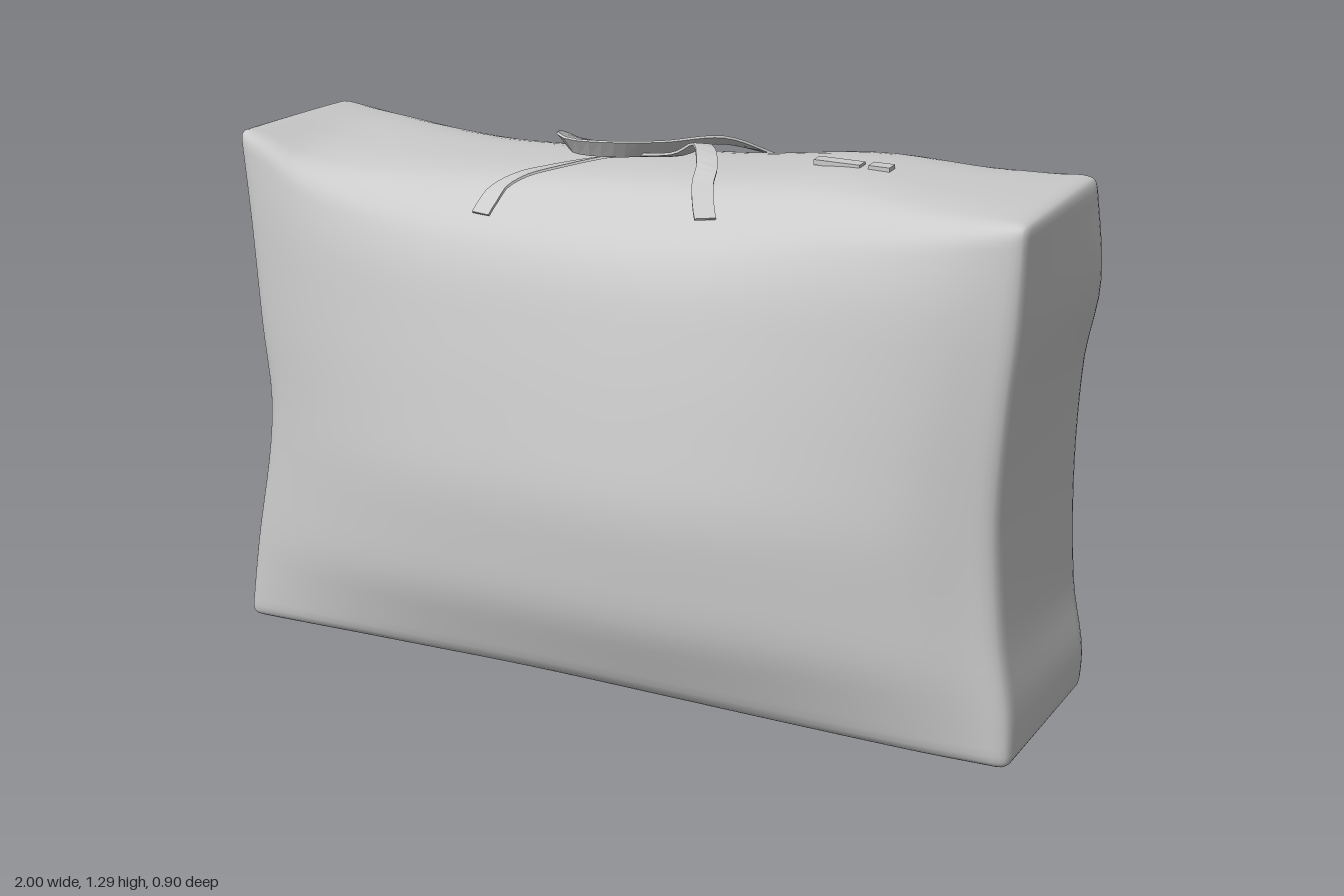
import * as THREE from 'three';
import { mergeVertices } from 'three/addons/utils/BufferGeometryUtils.js';

const { lerp, clamp } = THREE.MathUtils;

// Smooth one-dimensional profile through [position, value] pairs
function profile(pairs) {
  const f = new THREE.CubicInterpolant(pairs.map(p => p[0]), pairs.map(p => p[1]), 1);
  return x => f.evaluate(x)[0];
}

// Height of the top along the bag, at the front and at the back
const frontTop = profile([[-1, 1.245], [-0.93, 1.228], [-0.83, 1.19], [-0.5, 1.18], [-0.25, 1.2], [0, 1.22], [0.2, 1.235], [0.5, 1.268], [0.75, 1.26], [1, 1.255]]);
const backTop = profile([[-1, 1.2], [-0.8, 1.2], [-0.5, 1.19], [-0.25, 1.2], [0, 1.22], [0.2, 1.235], [0.5, 1.268], [0.75, 1.255], [1, 1.245]]);
// Front and back bulge along the bag
const frontAlong = profile([[-1, 0], [-0.95, 0.12], [-0.55, 0.65], [-0.2, 0.85], [0.17, 0.97], [0.5, 0.85], [0.8, 0.48], [0.96, 0.1], [1, 0]]);
const backAlong = profile([[-1, 0], [-0.87, 0.25], [-0.6, 0.65], [-0.3, 0.98], [0.13, 0.85], [0.53, 0.56], [0.73, 0.3], [1, 0]]);
// Front and back bulge over the height
const frontUp = profile([[0, 0.4], [0.09, 0.64], [0.18, 0.86], [0.3, 0.96], [0.42, 1], [0.56, 0.88], [0.72, 0.7], [0.87, 0.48], [1, 0.1]]);
const backUp = profile([[0, 0.12], [0.08, 0.25], [0.17, 0.55], [0.4, 0.93], [0.5, 1], [0.58, 0.98], [0.72, 0.67], [0.87, 0.43], [1, 0.08]]);
// Crumpled vertical edges of the two ends
const ends = {
  frontLeft: profile([[0, 0.985], [0.1, 0.98], [0.25, 0.95], [0.45, 0.93], [0.65, 0.94], [0.8, 0.955], [1, 0.965]]),
  backLeft: profile([[0, 0.99], [0.08, 0.995], [0.22, 0.965], [0.65, 0.96], [0.8, 0.99], [1, 0.965]]),
  frontRight: profile([[0, 1], [0.15, 0.975], [0.45, 0.92], [0.62, 0.94], [0.85, 0.965], [1, 0.985]]),
  backRight: profile([[0, 1], [0.1, 1], [0.22, 0.975], [0.45, 0.965], [0.6, 0.985], [0.8, 0.97], [0.95, 1], [1, 0.995]]),
};

// Soft stuffed body: a rounded box, then bulged and crumpled by the profiles
function bodyGeometry() {
  let g = new THREE.BoxGeometry(2, 2, 2, 48, 36, 22);
  g.deleteAttribute('normal');
  g.deleteAttribute('uv');
  g = mergeVertices(g);
  const half = new THREE.Vector3(1, 0.62, 0.25);
  const pos = g.attributes.position, p = new THREE.Vector3(), c = new THREE.Vector3();
  for (let i = 0; i < pos.count; i++) {
    p.fromBufferAttribute(pos, i);
    // crowd the grid towards the edges
    for (const k of ['x', 'y', 'z']) p[k] = lerp(p[k], Math.sin(p[k] * Math.PI / 2), 0.85) * half[k];
    // round the edges: tight at the corners, soft along the middle of the top
    const r = 0.03 + (1 - p.x * p.x) * lerp(0.02, 0.07, p.y / half.y / 2 + 0.5);
    const inner = half.clone().subScalar(r);
    c.copy(p).clamp(inner.clone().negate(), inner);
    const d = p.clone().sub(c);
    if (d.lengthSq() > 0) p.copy(c).addScaledVector(d.normalize(), r);

    const u = clamp(p.x / half.x, -1, 1), t = clamp(p.y / half.y / 2 + 0.5, 0, 1), w = clamp(p.z / half.z, -1, 1);
    const mid = 1 - u * u, f = (w + 1) / 2;
    const reach = u > 0 ? lerp(ends.backLeft(t), ends.frontLeft(t), f) : lerp(ends.backRight(t), ends.frontRight(t), f);
    const bulge = w > 0 ? 0.2 * frontAlong(u) * frontUp(t) : 0.2 * backAlong(u) * backUp(t);
    const top = lerp(backTop(u), frontTop(u), f);
    const sag = 0.07 * Math.abs(w) ** 3 * t ** 7 * mid;
    pos.setXYZ(i, u * reach, lerp(0.038 * mid, top, t) - sag, w * (half.z + bulge) + lerp(0.02, -0.005, t));
  }
  g.computeVertexNormals();
  return g;
}

// Flat webbing following a path; it turns on edge by "tilt" towards the middle
function ribbon(points, width, thick, tilt) {
  const curve = new THREE.CatmullRomCurve3(points, false, 'centripetal');
  const n = 40, verts = [], idx = [];
  const up = new THREE.Vector3(0, 1, 0);
  for (let i = 0; i <= n; i++) {
    const s = i / n, q = curve.getPointAt(s), tan = curve.getTangentAt(s);
    const a = tilt * Math.sin(Math.PI * s) ** 2;
    const side = tan.clone().cross(up).normalize();
    const nor = side.clone().cross(tan).normalize();
    const across = side.clone().multiplyScalar(Math.cos(a)).addScaledVector(nor, Math.sin(a));
    const out = across.clone().cross(tan).normalize();
    for (const [m, h] of [[-1, -1], [1, -1], [1, 1], [-1, 1]]) {
      const v = q.clone().addScaledVector(across, m * width / 2).addScaledVector(out, h * thick / 2);
      verts.push(v.x, v.y, v.z);
    }
    if (i < n) for (let k = 0; k < 4; k++) {
      const b = i * 4 + k, e = i * 4 + (k + 1) % 4;
      idx.push(b, e, e + 4, b, e + 4, b + 4);
    }
  }
  const e = n * 4;
  idx.push(0, 2, 1, 0, 3, 2, e, e + 1, e + 2, e, e + 2, e + 3);
  let g = new THREE.BufferGeometry();
  g.setAttribute('position', new THREE.Float32BufferAttribute(verts, 3));
  g.setIndex(idx);
  g = g.toNonIndexed();
  g.computeVertexNormals();
  return g;
}

export function createModel() {
  const group = new THREE.Group();
  const mat = new THREE.MeshStandardMaterial({ color: 0xcccccc });
  const strapMat = new THREE.MeshStandardMaterial({ color: 0xcccccc, side: THREE.DoubleSide });
  const add = (name, geometry, material = mat) => {
    const mesh = new THREE.Mesh(geometry, material);
    mesh.name = name;
    group.add(mesh);
    return mesh;
  };

  const body = add('bagBody', bodyGeometry());
  body.updateMatrixWorld(true);

  // Point resting on the upper surface of the bag, lifted off along the surface normal
  const ray = new THREE.Raycaster();
  const onBag = (x, z, lift = 0.012) => {
    ray.set(new THREE.Vector3(x, 3, z), new THREE.Vector3(0, -1, 0));
    const hit = ray.intersectObject(body)[0];
    return hit.point.clone().addScaledVector(hit.face.normal, lift);
  };
  const at = (x, y, z) => new THREE.Vector3(x, y, z);

  // Handles: both ends sewn to the bag, the middle flopped over the top
  add('frontHandle', ribbon([
    onBag(-0.32, 0.26), onBag(-0.315, 0.235), onBag(-0.305, 0.2), onBag(-0.27, 0.16), onBag(-0.22, 0.12), onBag(-0.1, 0.035, 0.015),
    at(0.06, 1.25, 0.03), at(0.13, 1.285, 0.05), at(0.165, 1.255, 0.1), onBag(0.185, 0.16), onBag(0.205, 0.2), onBag(0.225, 0.235), onBag(0.235, 0.25),
  ], 0.048, 0.006, 0.3), strapMat);
  add('backHandle', ribbon([
    onBag(-0.285, -0.265), onBag(-0.28, -0.24), onBag(-0.27, -0.2), onBag(-0.255, -0.13), at(-0.235, 1.24, -0.02), at(-0.21, 1.262, 0.07), at(-0.16, 1.265, 0.12),
    at(-0.08, 1.262, 0.1), at(0.01, 1.255, 0.02), at(0.1, 1.25, -0.12), onBag(0.17, -0.2), onBag(0.22, -0.245), onBag(0.25, -0.265), onBag(0.28, -0.28),
  ], 0.044, 0.006, 1.1), strapMat);

  // Zip slider and its pull tab
  for (const [name, x, len] of [['zipPull', 0.445, 0.11], ['zipSlider', 0.545, 0.05]]) {
    const part = add(name, new THREE.BoxGeometry(len, 0.012, 0.034));
    part.position.copy(onBag(x, 0.005, 0.003));
  }
  return group;
}
